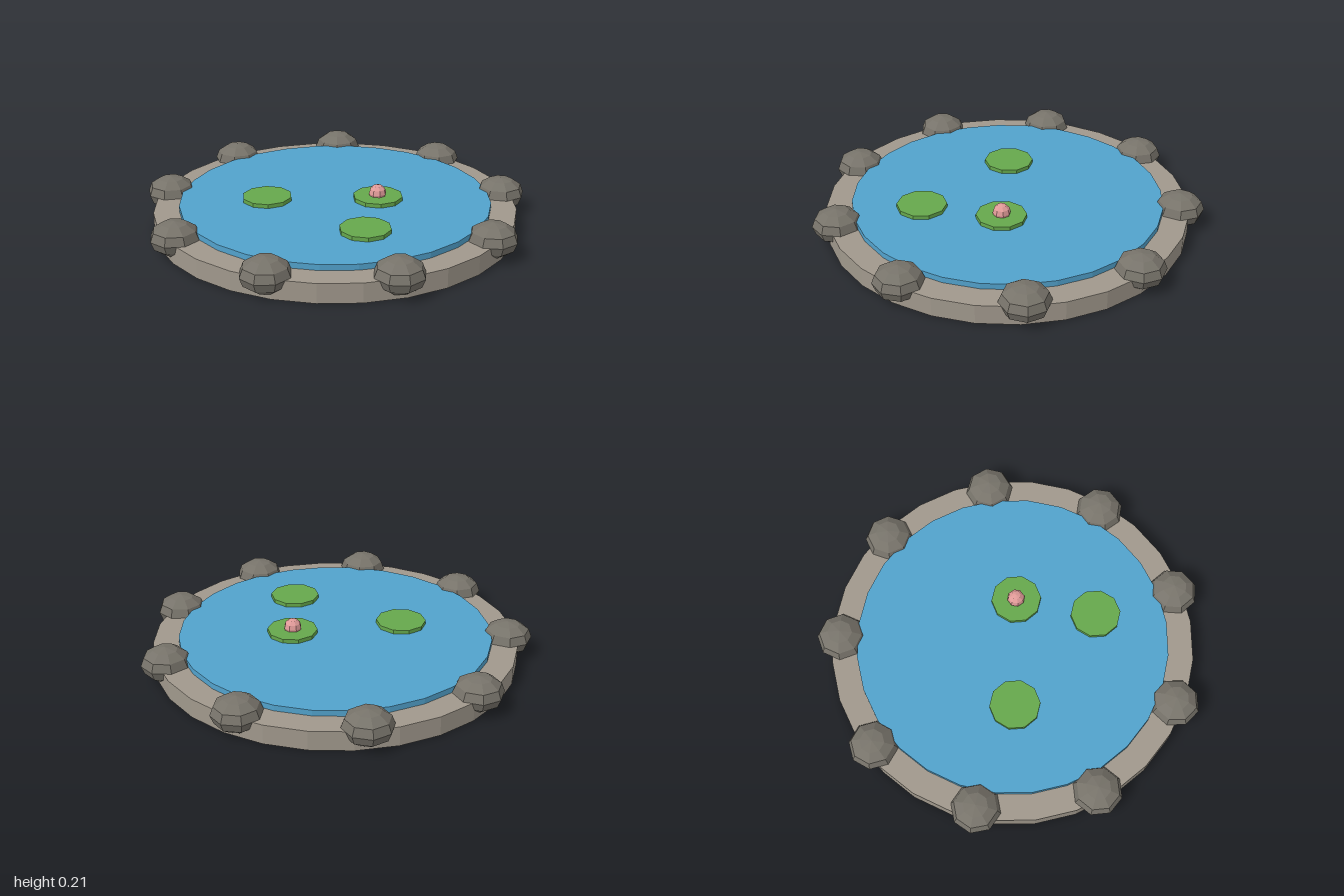
import * as THREE from 'three';

const material = (color) => new THREE.MeshStandardMaterial({ color, flatShading: true });

export function createModel() {
  const pond = new THREE.Group();
  pond.name = 'pond';
  const centreX = -0.027;

  const add = (name, geometry, mat, x, y, z) => {
    const mesh = new THREE.Mesh(geometry, mat);
    mesh.name = name;
    mesh.position.set(x, y, z);
    pond.add(mesh);
    return mesh;
  };

  // Stone base and the water disc raised slightly above it
  add('stoneBase', new THREE.CylinderGeometry(0.934, 0.934, 0.1, 28), material(0xa0988c), centreX, 0.05, 0);
  add('water', new THREE.CylinderGeometry(0.803, 0.803, 0.06, 28), material(0x52a2cc), centreX, 0.1, 0);

  // Nine flattened boulders around the rim
  const rockGeometry = new THREE.SphereGeometry(0.126, 8, 6).scale(1, 0.69, 1);
  const rockMaterial = material(0x77736a);
  const rockCount = 9;
  for (let i = 0; i < rockCount; i++) {
    const angle = (i / rockCount) * Math.PI * 2;
    const rock = add('rimRock', rockGeometry, rockMaterial,
      centreX + 0.887 * Math.cos(angle), 0.1, 0.887 * Math.sin(angle));
    rock.rotation.y = -angle;
  }

  // Lily pads floating on the water
  const padGeometry = new THREE.CylinderGeometry(0.129, 0.129, 0.03, 10);
  const padMaterial = material(0x66a84c);
  for (const [x, z] of [[0.17, -0.1], [-0.32, 0.195], [0.317, 0.292]]) {
    add('lilyPad', padGeometry, padMaterial, x, 0.136, z);
  }

  // Flower bud on the rear pad
  add('flower', new THREE.SphereGeometry(0.046, 8, 6), material(0xe09a98), 0.168, 0.162, -0.1);

  return pond;
}
